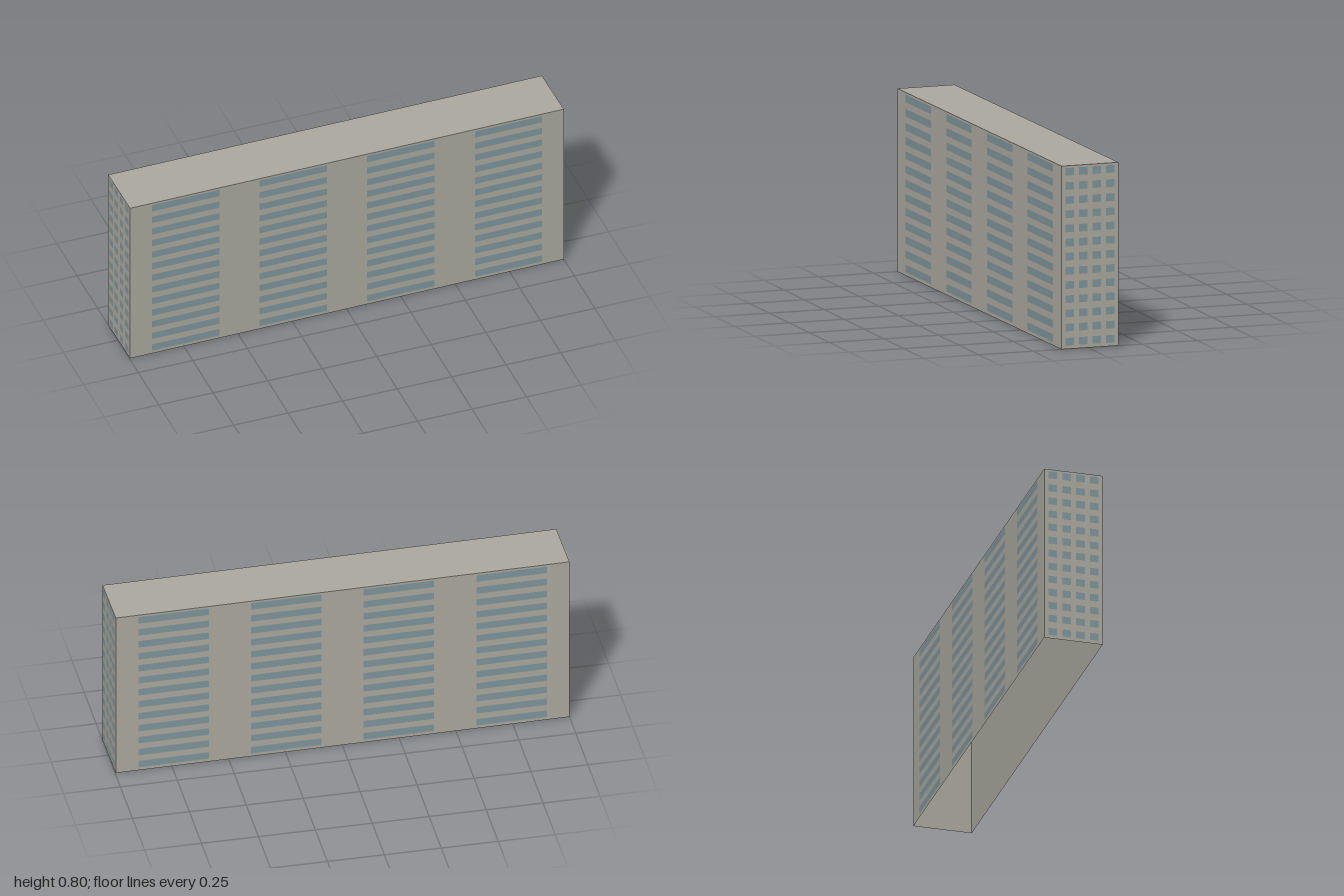
import * as THREE from 'three';
import { mergeGeometries } from 'three/addons/utils/BufferGeometryUtils.js';

const LENGTH = 1.997, DEPTH = 0.261, HEIGHT = 0.8;
const FLOORS = 13, COLUMNS = 4;

export function createModel() {
  const concrete = new THREE.MeshStandardMaterial({ color: 0xadaba0, side: THREE.DoubleSide });
  concrete.name = 'concrete';
  const glass = new THREE.MeshStandardMaterial({ color: 0x7f979d });
  glass.name = 'glass';

  const building = new THREE.Group();
  building.name = 'apartmentBlock';

  // One wall with its grid of windows, turned to face outward
  function addFacade(name, width, distance, angle, windowWidth, pitch) {
    const facade = new THREE.Group();
    facade.name = name;

    const wall = new THREE.Mesh(new THREE.PlaneGeometry(width, HEIGHT), concrete);
    wall.name = name + 'Wall';
    wall.position.set(0, HEIGHT / 2, distance);
    facade.add(wall);

    const panes = [];
    for (let floor = 0; floor < FLOORS; floor++) {
      for (let column = 0; column < COLUMNS; column++) {
        const pane = new THREE.PlaneGeometry(windowWidth, 0.033);
        pane.translate((column - (COLUMNS - 1) / 2) * pitch, 0.032 + floor * 0.0618, distance + 0.001);
        panes.push(pane);
      }
    }
    const windows = new THREE.Mesh(mergeGeometries(panes), glass);
    windows.name = name + 'Windows';
    facade.add(windows);

    facade.rotation.y = angle;
    building.add(facade);
  }

  // Long sides carry window bands, short ends carry small windows
  for (const [side, turn] of [['front', 0], ['back', Math.PI]]) {
    addFacade(side, LENGTH, DEPTH / 2, turn, 0.31, 0.4955);
  }
  for (const [side, turn] of [['leftEnd', Math.PI / 2], ['rightEnd', -Math.PI / 2]]) {
    addFacade(side, DEPTH, LENGTH / 2, turn, 0.039, 0.062);
  }

  // Flat roof; the underside stays open
  const roof = new THREE.Mesh(new THREE.PlaneGeometry(LENGTH, DEPTH), concrete);
  roof.name = 'roof';
  roof.rotation.x = -Math.PI / 2;
  roof.position.y = HEIGHT;
  building.add(roof);

  // The block stands slightly askew
  building.rotation.y = 0.0105;

  const model = new THREE.Group();
  model.name = 'building';
  model.add(building);
  return model;
}
